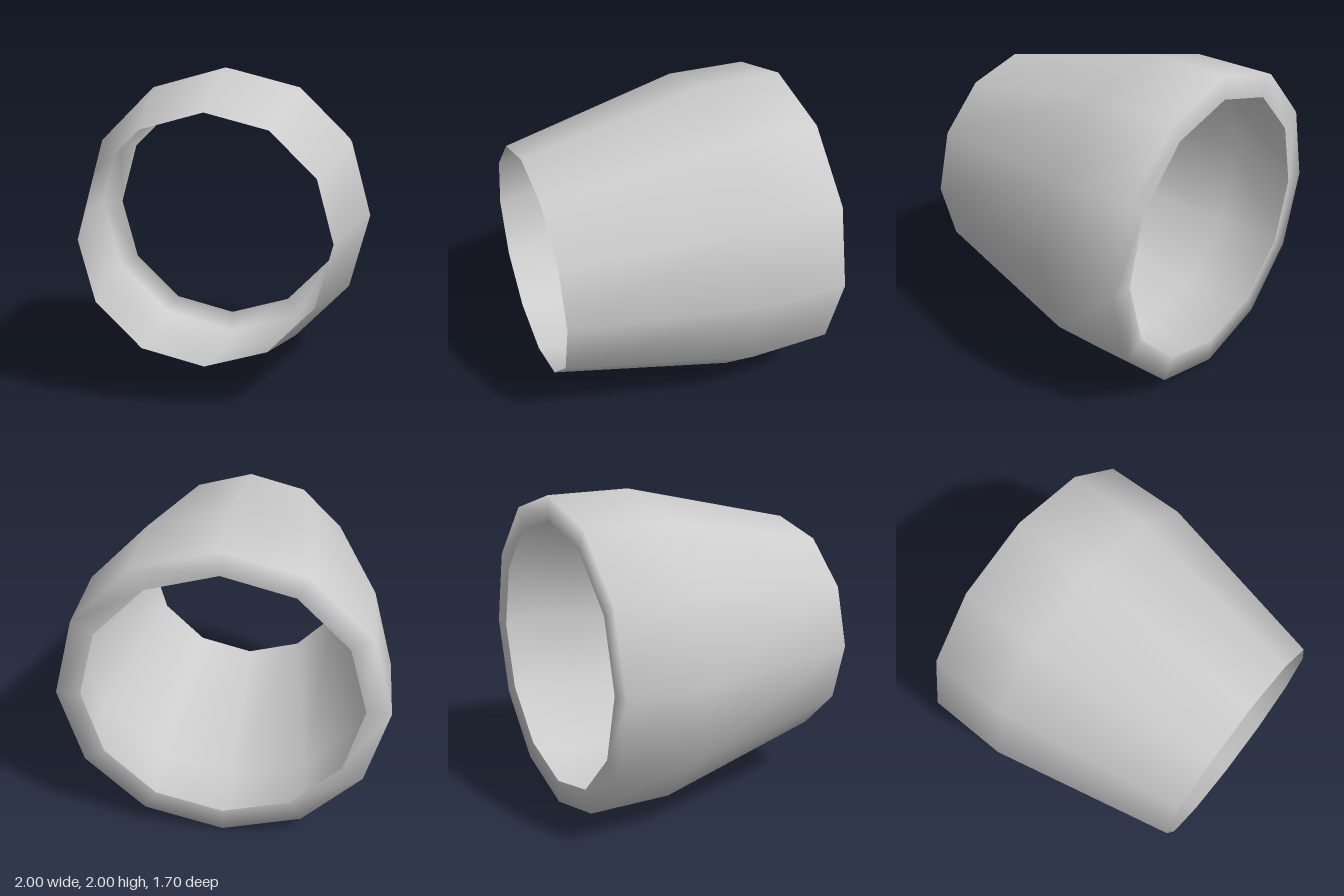
import * as THREE from 'three';

export function createModel() {
  const group = new THREE.Group();
  const grey = new THREE.MeshStandardMaterial({ color: 0xcccccc, side: THREE.DoubleSide });
  grey.name = 'lightGrey';

  // Open twelve-sided sleeve: inward back rim, short straight band, taper to the thin front edge
  const profile = [
    [0.846, -0.85],
    [0.993, -0.85],
    [1.0, -0.32],
    [0.74, 0.85],
  ].map(([r, z]) => new THREE.Vector2(r, z));
  const geometry = new THREE.LatheGeometry(profile, 12);
  geometry.rotateX(Math.PI / 2); // lathe axis becomes +z

  const sleeve = new THREE.Mesh(geometry, grey);
  sleeve.name = 'taperedSleeve';
  sleeve.position.y = 1;
  group.add(sleeve);
  return group;
}
